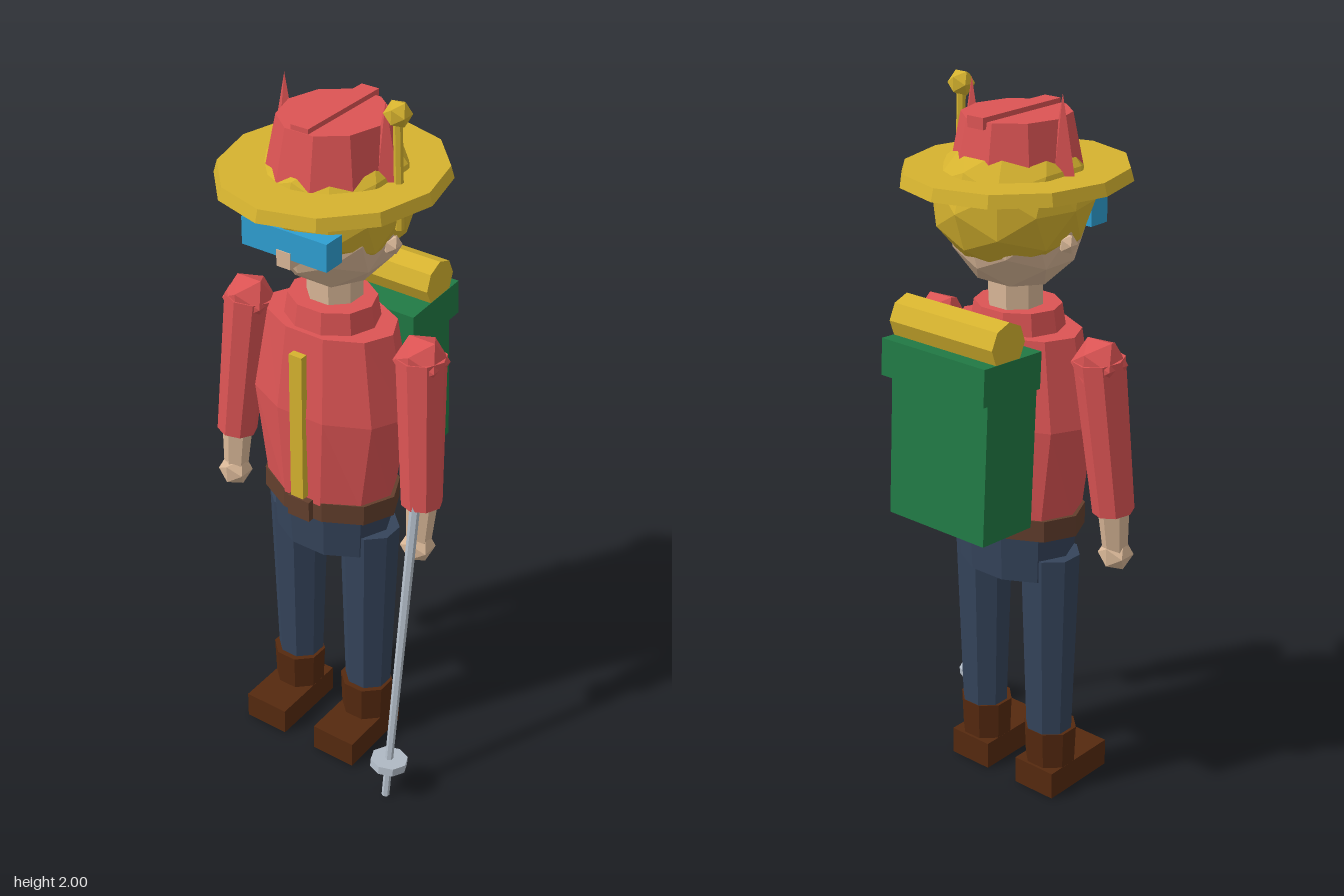
import * as THREE from 'three';

const mat = (name, color) => {
  const m = new THREE.MeshStandardMaterial({ color, flatShading: true });
  m.name = name;
  return m;
};

export function createModel() {
  const red = mat('red cloth', 0xdc5454);
  const yellow = mat('yellow', 0xd6b32f);
  const green = mat('green canvas', 0x217a45);
  const blue = mat('blue lens', 0x2f9fd2);
  const navy = mat('navy trousers', 0x35445b);
  const brown = mat('belt brown', 0x633f2d);
  const boot = mat('boot leather', 0x55290f);
  const skin = mat('skin', 0xdab898);
  const steel = mat('steel', 0xb4bec9);

  const model = new THREE.Group();
  const body = new THREE.Group();
  body.name = 'hiker';
  body.position.x = -0.011;
  model.add(body);

  const add = (name, geo, material, x, y, z, parent = body) => {
    const m = new THREE.Mesh(geo, material);
    m.name = name;
    m.position.set(x, y, z);
    parent.add(m);
    return m;
  };
  const box = (name, material, w, h, d, x, y, z, parent) =>
    add(name, new THREE.BoxGeometry(w, h, d), material, x, y, z, parent);
  const ball = (name, material, r, detail, x, y, z) =>
    add(name, new THREE.IcosahedronGeometry(r, detail), material, x, y, z);
  // Upright drum from y0 to y1, stretched by sz in depth
  const drum = (name, material, r0, r1, y0, y1, n, x, z, sz = 1, turn = 0) => {
    const g = new THREE.CylinderGeometry(r1, r0, y1 - y0, n, 1, false, turn);
    return add(name, g.scale(1, 1, sz), material, x, (y0 + y1) / 2, z);
  };
  // Tapered limb between two points
  const limb = (name, material, a, b, ra, rb, n) => {
    const va = new THREE.Vector3(...a), vb = new THREE.Vector3(...b);
    const dir = vb.clone().sub(va);
    const m = add(name, new THREE.CylinderGeometry(rb, ra, dir.length(), n), material, 0, 0, 0);
    m.position.copy(va).add(vb).multiplyScalar(0.5);
    m.quaternion.setFromUnitVectors(new THREE.Vector3(0, 1, 0), dir.normalize());
    return m;
  };

  // Legs, boots, arms, hands, ears and hat spikes on both sides
  for (const [side, s] of [['left', 1], ['right', -1]]) {
    box(side + 'Foot', boot, 0.135, 0.08, 0.24, s * 0.12, 0.04, 0.06);
    drum(side + 'BootShaft', boot, 0.07, 0.077, 0.01, 0.19, 8, s * 0.12, 0.012, 0.95, Math.PI / 8);
    drum(side + 'Leg', navy, 0.066, 0.085, 0.15, 0.735, 8, s * 0.12, 0.005, 0.95, Math.PI / 8);

    const wrist = [s * 0.308, 0.9, 0.038];
    ball(side + 'Shoulder', red, 0.074, 0, s * 0.275, 1.312, 0.008);
    limb(side + 'Sleeve', red, wrist, [s * 0.275, 1.325, 0.008], 0.056, 0.068, 8);
    limb(side + 'Wrist', skin, [s * 0.308, 0.77, 0.05], wrist, 0.033, 0.042, 6);
    ball(side + 'Hand', skin, 0.048, 0, s * 0.308, 0.77, 0.052);

    ball(side + 'Ear', skin, 0.028, 0, s * 0.172, 1.61, 0.0);
    const spike = new THREE.ConeGeometry(0.05, 0.25, 4).scale(1, 1, 0.75);
    add(side + 'HatSpike', spike, red, s * 0.15, 1.862, 0.003);
  }

  // Hips and belt
  drum('hips', navy, 0.172, 0.18, 0.67, 0.81, 10, 0, 0.005, 0.75, Math.PI / 10);
  drum('belt', brown, 0.203, 0.203, 0.8, 0.86, 10, 0, 0.012, 0.72, Math.PI / 10);
  box('buckle', brown, 0.07, 0.062, 0.02, 0, 0.83, 0.16);

  // Jacket with collar and zip
  const profile = [[0, 0.85], [0.19, 0.85], [0.234, 1.12], [0.19, 1.36], [0, 1.36]]
    .map(p => new THREE.Vector2(...p));
  const jacket = new THREE.LatheGeometry(profile, 10, Math.PI / 10);
  // Depth stays almost constant while the width bulges
  const pos = jacket.attributes.position;
  for (let i = 0; i < pos.count; i++) {
    const r = Math.hypot(pos.getX(i), pos.getZ(i));
    pos.setZ(i, pos.getZ(i) * (r > 0.21 ? 0.66 : pos.getY(i) > 1 ? 0.68 : 0.77));
  }
  add('jacket', jacket, red, 0, 0, 0.012);
  drum('collar', red, 0.133, 0.122, 1.35, 1.42, 10, 0, 0.01, 0.88, Math.PI / 10);
  box('zip', yellow, 0.04, 0.44, 0.022, 0, 1.09, 0.164);

  // Head
  drum('neck', skin, 0.075, 0.075, 1.38, 1.52, 8, 0, 0, 1, Math.PI / 8);
  ball('head', skin, 0.18, 1, 0, 1.638, 0.005);
  ball('hair', yellow, 0.205, 1, 0, 1.702, -0.008).scale.set(1, 0.92, 1.08);
  box('goggles', blue, 0.258, 0.076, 0.065, 0, 1.649, 0.182);
  box('nose', skin, 0.042, 0.045, 0.06, 0, 1.607, 0.187);

  // Hat
  drum('hatBrim', yellow, 0.292, 0.283, 1.752, 1.785, 12, 0, 0.005, 1.09);
  drum('hatCrown', red, 0.168, 0.137, 1.76, 1.92, 10, 0, 0.005, 1.09, Math.PI / 10);
  box('hatRidge', red, 0.052, 0.03, 0.296, 0, 1.918, -0.003);
  box('hatPeak', red, 0.24, 0.022, 0.09, 0, 1.735, 0.185);
  limb('hatPinStem', yellow, [0.197, 1.66, 0.003], [0.186, 1.95, 0.003], 0.012, 0.012, 6);
  ball('hatPinHead', yellow, 0.036, 0, 0.187, 1.964, 0.004);

  // Backpack, leaning slightly forward, with a bedroll on top
  const pack = new THREE.Group();
  pack.name = 'backpack';
  pack.position.set(0, 1.1, -0.21);
  pack.rotation.x = 0.055;
  body.add(pack);
  box('packBody', green, 0.33, 0.41, 0.187, 0, -0.025, 0, pack);
  box('packLid', green, 0.352, 0.1, 0.216, 0, 0.207, -0.014, pack);
  const roll = new THREE.CylinderGeometry(0.062, 0.062, 0.35, 8).rotateZ(Math.PI / 2);
  add('bedroll', roll, yellow, 0, 0.298, -0.034, pack);

  // Walking pole with a basket near its tip
  const tip = [0.331, 0, 0.219], grip = [0.312, 0.93, 0.075];
  limb('pole', steel, tip, grip, 0.011, 0.014, 6);
  limb('poleBasket', steel, [0.329, 0.1, 0.203], [0.329, 0.124, 0.2], 0.053, 0.053, 8);

  return model;
}
